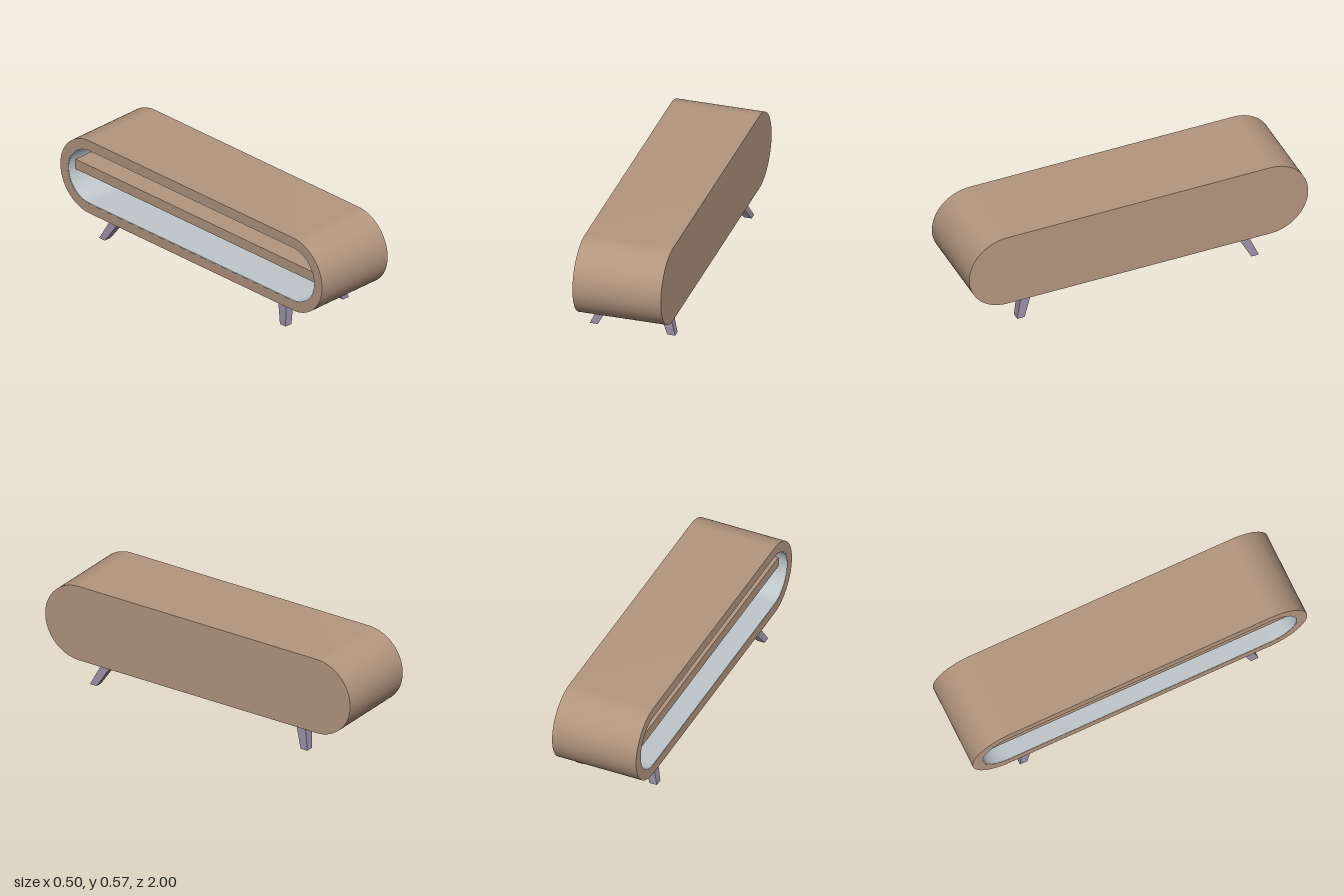
import * as THREE from 'three';
import { toCreasedNormals } from 'three/addons/utils/BufferGeometryUtils.js';

const MID_Y = 0.351;      // height of the cabinet's centre line
const HALF_STRAIGHT = 0.778;
const OUTER_R = 0.222;
const INNER_R = 0.164;
const LINING = 0.004;

// Stadium outline: two half circles joined by straight runs
function stadium(radius, Type = THREE.Shape) {
  const s = new Type();
  s.moveTo(-HALF_STRAIGHT, -radius);
  s.lineTo(HALF_STRAIGHT, -radius);
  s.absarc(HALF_STRAIGHT, 0, radius, -Math.PI / 2, Math.PI / 2, false);
  s.lineTo(-HALF_STRAIGHT, radius);
  s.absarc(-HALF_STRAIGHT, 0, radius, Math.PI / 2, Math.PI * 1.5, false);
  return s;
}

// Stadium slab or ring running from x0 to x1
function stadiumMesh(name, material, radius, holeRadius, x0, x1) {
  const shape = stadium(radius);
  if (holeRadius) shape.holes.push(stadium(holeRadius, THREE.Path));
  let geo = new THREE.ExtrudeGeometry(shape, { depth: x1 - x0, bevelEnabled: false, curveSegments: 32 });
  geo = toCreasedNormals(geo, 0.5);
  geo.rotateY(Math.PI / 2);
  geo.translate(x0, MID_Y, 0);
  const mesh = new THREE.Mesh(geo, material);
  mesh.name = name;
  return mesh;
}

// Square tapered leg splayed towards its corner
function legMesh(name, material, sx, sz) {
  const geo = new THREE.BoxGeometry(1, 1, 1);
  const p = geo.attributes.position;
  for (let i = 0; i < p.count; i++) {
    const top = p.getY(i) > 0;
    const width = top ? 0.062 : 0.044;
    const cx = top ? 0.156 : 0.219;
    const cz = top ? 0.63 : 0.691;
    p.setXYZ(i, sx * cx + p.getX(i) * width, top ? 0.13 : 0, sz * cz + p.getZ(i) * width);
  }
  geo.computeVertexNormals();
  const mesh = new THREE.Mesh(geo, material);
  mesh.name = name;
  return mesh;
}

export function createModel() {
  const wood = new THREE.MeshStandardMaterial({ color: 0xb3967f });
  wood.name = 'brown wood';
  const white = new THREE.MeshStandardMaterial({ color: 0xbfc7cb });
  white.name = 'pale lining';
  const legPaint = new THREE.MeshStandardMaterial({ color: 0x8b8295 });
  legPaint.name = 'grey violet legs';

  const model = new THREE.Group();
  model.name = 'lowCabinet';

  // Rounded shell, closed on +x and open on -x
  model.add(stadiumMesh('shell', wood, OUTER_R, INNER_R, -0.25, 0.25));
  model.add(stadiumMesh('backPanel', wood, INNER_R, 0, 0.2, 0.25));

  // Pale inside faces
  model.add(stadiumMesh('innerLining', white, INNER_R, INNER_R - LINING, -0.249, 0.2));
  model.add(stadiumMesh('backLining', white, INNER_R - LINING, 0, 0.195, 0.2));

  // Middle shelf, set back from the opening
  const shelf = new THREE.Mesh(new THREE.BoxGeometry(0.395, 0.06, 1.866), wood);
  shelf.name = 'shelf';
  shelf.position.set(-0.0025, MID_Y + 0.002, 0);
  model.add(shelf);

  // Four legs
  for (const sx of [1, -1]) {
    for (const sz of [1, -1]) {
      const name = (sz > 0 ? 'front' : 'back') + (sx > 0 ? 'Left' : 'Right') + 'Leg';
      model.add(legMesh(name, legPaint, sx, sz));
    }
  }
  return model;
}
